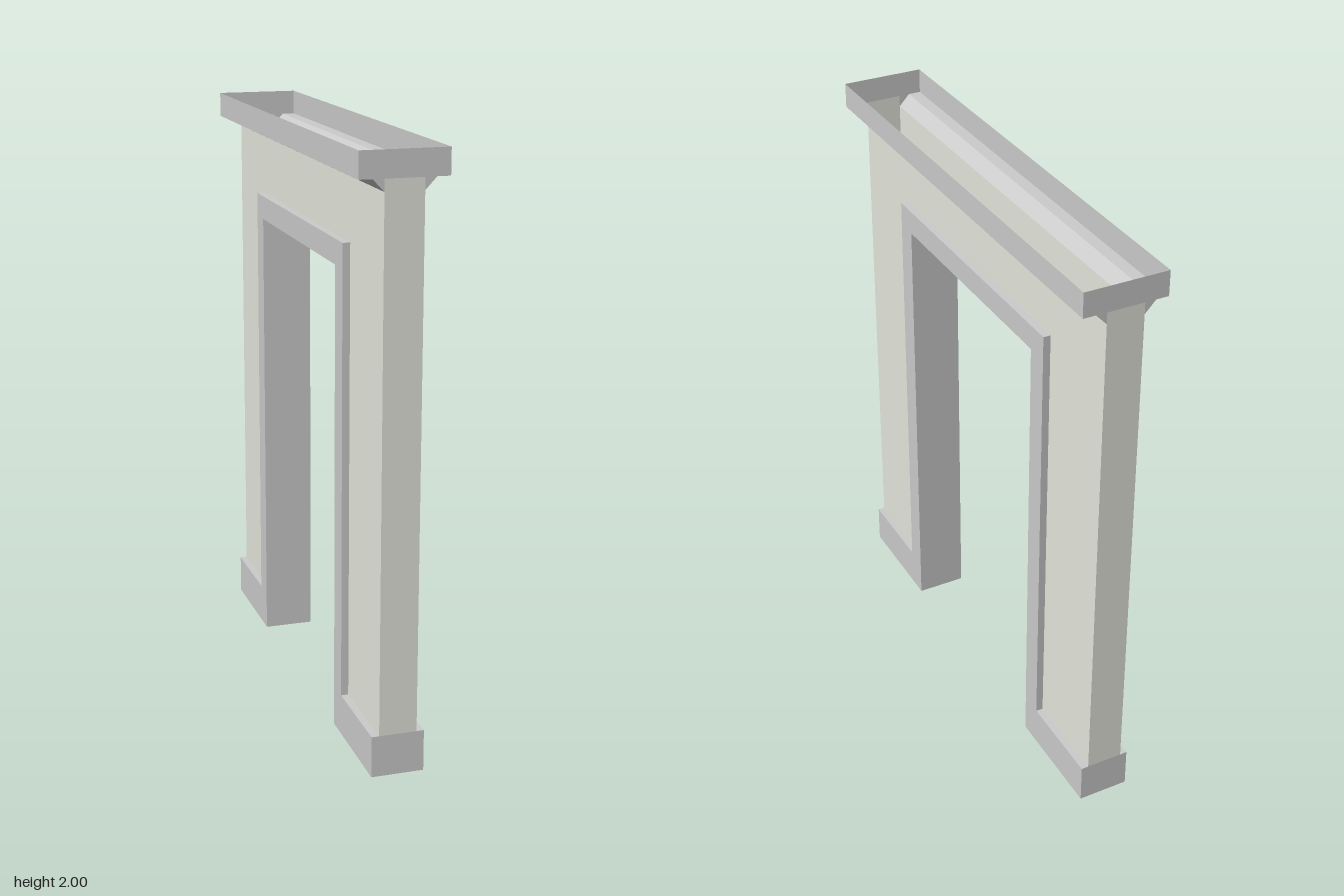
import * as THREE from 'three';

const grey = new THREE.MeshStandardMaterial({ color: 0xcccccc, side: THREE.DoubleSide, flatShading: true });
const plaster = new THREE.MeshStandardMaterial({ color: 0xe4e6dc, side: THREE.DoubleSide, flatShading: true });

// Main dimensions: half widths in x, half lengths in z, heights in y
const WALL = 0.063, TRIM = 0.088, CAP = 0.143, COVE = 0.1;
const END = 0.835, OUTER = 0.513, INNER = 0.435;
const BASE_TOP = 0.14, DOOR_TOP = 1.587, TRIM_TOP = 1.67, COVE_LOW = 1.876, CAP_LOW = 1.915, TOP = 2;

const shape = (pts) => new THREE.Shape(pts.map(([u, v]) => new THREE.Vector2(u, v)));
const rect = (w, y0, y1) => [[-w, y0], [w, y0], [w, y1], [-w, y1]];

// Doubles a half outline (u >= 0) into a full one, symmetric about u = 0
const mirrored = (pts) => [...pts, ...pts.slice().reverse().map(([u, v]) => [-u, v])];

// Open sheet made by moving a polyline along an offset
function ribbon(points, offset) {
  const pos = [], index = [];
  points.forEach((p, i) => {
    if (i === points.length - 1) return;
    const a = new THREE.Vector3(...p), b = new THREE.Vector3(...points[i + 1]);
    const o = new THREE.Vector3(...offset), n = pos.length / 3;
    for (const v of [a, b, b.clone().add(o), a.clone().add(o)]) pos.push(v.x, v.y, v.z);
    index.push(n, n + 1, n + 2, n, n + 2, n + 3);
  });
  const g = new THREE.BufferGeometry();
  g.setAttribute('position', new THREE.Float32BufferAttribute(pos, 3));
  g.setIndex(index);
  g.computeVertexNormals();
  return g;
}

export function createModel() {
  const model = new THREE.Group();
  const add = (name, geometry, material) => {
    const mesh = new THREE.Mesh(geometry, material);
    mesh.name = name;
    model.add(mesh);
  };
  // Flat panel facing +x or -x
  const sidePanel = (pts, x, s) =>
    new THREE.ShapeGeometry(shape(pts)).rotateY(s * Math.PI / 2).translate(s * x, 0, 0);
  // Flat panel closing the +z or -z end
  const endPanel = (outlines, s) =>
    new THREE.ShapeGeometry(outlines.map(shape)).rotateY(s > 0 ? 0 : Math.PI).translate(0, 0, s * END);

  const wallOutline = mirrored([[END, COVE_LOW], [END, BASE_TOP], [OUTER, BASE_TOP], [OUTER, TRIM_TOP]]);
  const trimOutline = mirrored([
    [INNER, DOOR_TOP], [INNER, 0], [END, 0], [END, BASE_TOP], [OUTER, BASE_TOP], [OUTER, TRIM_TOP],
  ].reverse());
  const ledge = mirrored([[END, BASE_TOP], [OUTER, BASE_TOP], [OUTER, TRIM_TOP]]);

  for (const s of [1, -1]) {
    // Wall faces, door frame with plinths, and the ledge around them
    add('wallFace', sidePanel(wallOutline, WALL, s), plaster);
    add('frameAndPlinthFace', sidePanel(trimOutline, TRIM, s), grey);
    add('frameLedge', ribbon(ledge.map(([z, y]) => [s * WALL, y, z]), [s * (TRIM - WALL), 0, 0]), grey);

    // Open-topped cornice: cove, underside and fascia
    const profile = [[WALL, COVE_LOW], [COVE, CAP_LOW], [CAP, CAP_LOW], [CAP, TOP]];
    add('cornice', ribbon(profile.map(([x, y]) => [s * x, y, -END]), [0, 0, 2 * END]), grey);

    // End closures
    add('wallEnd', endPanel([rect(WALL, BASE_TOP, CAP_LOW)], s), plaster);
    add('plinthEnd', endPanel([rect(TRIM, 0, BASE_TOP)], s), grey);
    add('corniceEnd', endPanel([
      rect(CAP, CAP_LOW, TOP),
      [[WALL, COVE_LOW], [COVE, CAP_LOW], [WALL, CAP_LOW]],
      [[-WALL, COVE_LOW], [-WALL, CAP_LOW], [-COVE, CAP_LOW]],
    ], s), grey);
  }

  // Jambs and soffit lining the doorway
  const lining = mirrored([[INNER, 0], [INNER, DOOR_TOP]]);
  add('doorwayLining', ribbon(lining.map(([z, y]) => [-TRIM, y, z]), [2 * TRIM, 0, 0]), grey);

  return model;
}
